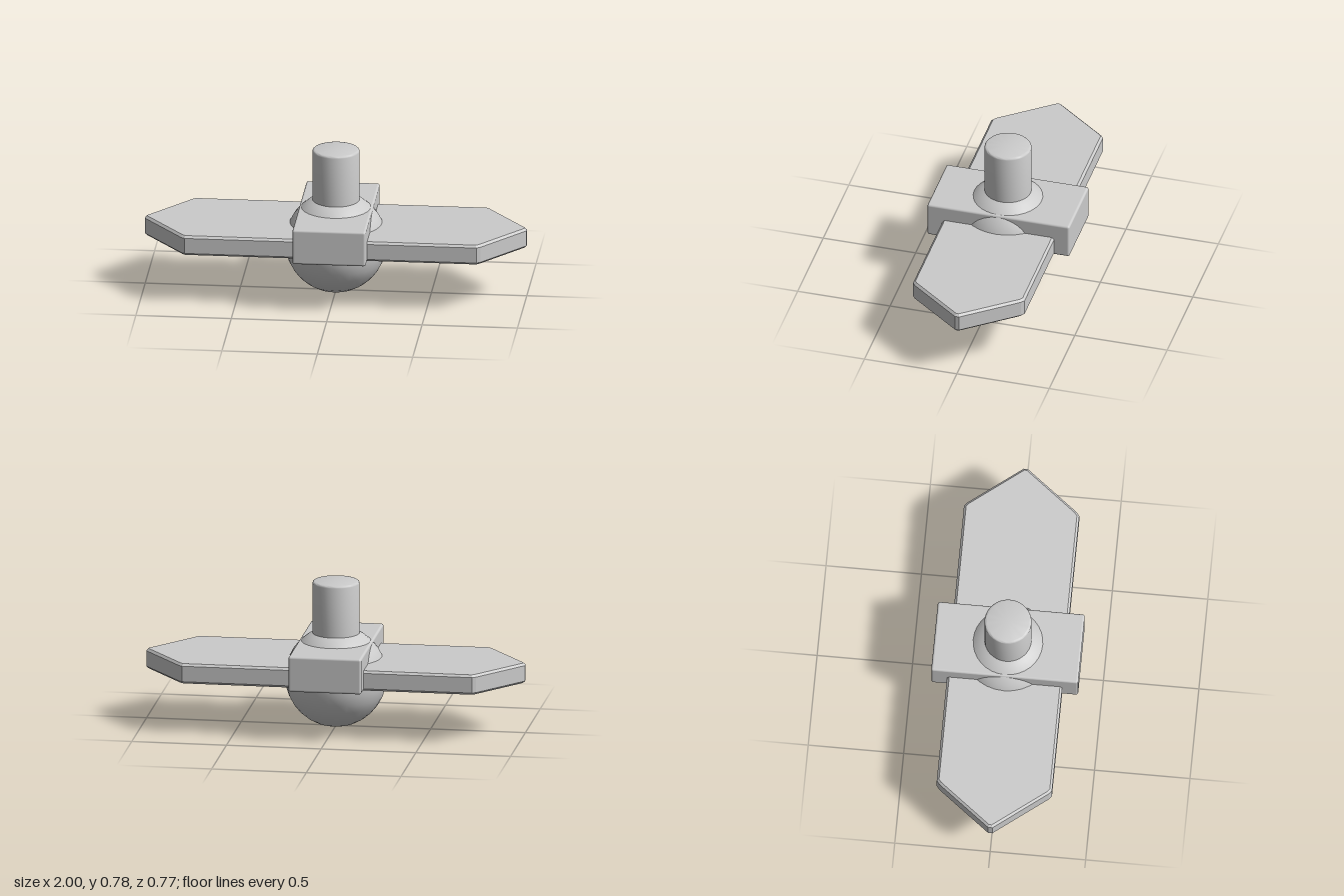
import * as THREE from 'three';
import { RoundedBoxGeometry } from 'three/addons/geometries/RoundedBoxGeometry.js';
import { toCreasedNormals } from 'three/addons/utils/BufferGeometryUtils.js';

export function createModel() {
  const group = new THREE.Group();
  const material = new THREE.MeshStandardMaterial({ color: 0xcccccc });
  const add = (name, geometry, y = 0) => {
    const mesh = new THREE.Mesh(geometry, material);
    mesh.name = name;
    mesh.position.y = y;
    group.add(mesh);
  };

  // Ball through the middle
  add('ball', new THREE.SphereGeometry(0.266, 32, 16), 0.267);

  // Block crossing the blade, with softened edges
  add('crossBlock', new RoundedBoxGeometry(0.384, 0.19, 0.77, 3, 0.012), 0.365);

  // Long blade pointed at both ends, corners trimmed and edges chamfered
  const quarter = [[1, 0.011], [0.785, 0.287], [0.765, 0.302]];
  const mirrored = [...quarter].reverse();
  const outline = [
    ...quarter,
    ...mirrored.map(([x, z]) => [-x, z]),
    ...quarter.map(([x, z]) => [-x, -z]),
    ...mirrored.map(([x, z]) => [x, -z]),
  ].map(([x, z]) => new THREE.Vector2(x, z));
  const bevel = 0.012;
  const height = 0.107;
  const blade = new THREE.ExtrudeGeometry(new THREE.Shape(outline), {
    depth: height - 2 * bevel,
    bevelEnabled: true,
    bevelThickness: bevel,
    bevelSize: bevel,
    bevelOffset: -bevel,
    bevelSegments: 1,
  });
  blade.translate(0, 0, bevel).rotateX(-Math.PI / 2);
  add('blade', blade, 0.27);

  // Round post with a rounded top rim
  const r = 0.123, top = 0.78, rim = 0.012;
  const profile = [new THREE.Vector2(r, 0.4)];
  for (let i = 0; i <= 3; i++) {
    const a = (i / 3) * Math.PI / 2;
    profile.push(new THREE.Vector2(r - rim + rim * Math.cos(a), top - rim + rim * Math.sin(a)));
  }
  profile.push(new THREE.Vector2(0, top));
  add('post', toCreasedNormals(new THREE.LatheGeometry(profile, 32), 0.6));

  return group;
}
